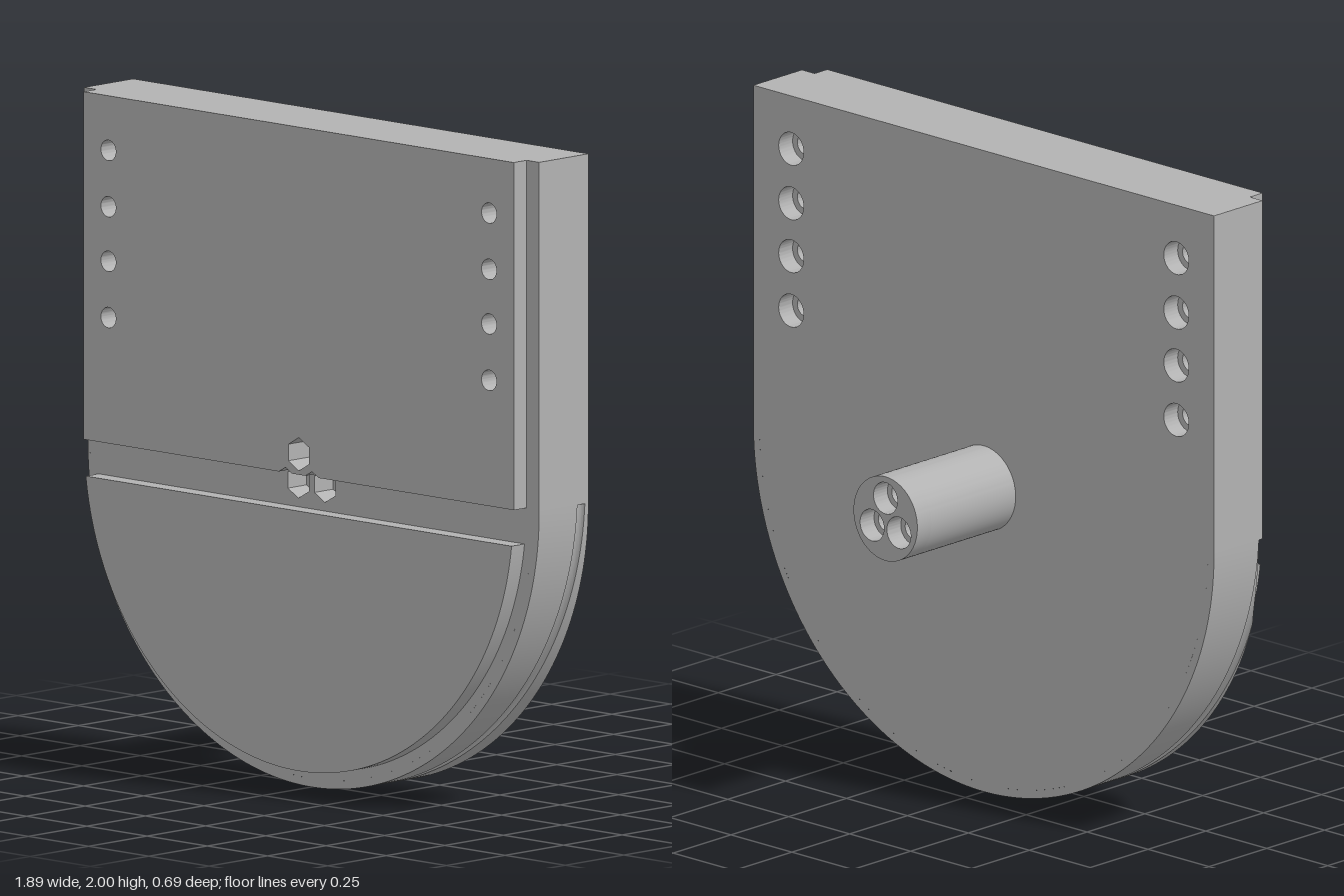
import * as THREE from 'three';
import { toCreasedNormals } from 'three/addons/utils/BufferGeometryUtils.js';

const R = 0.945;          // outer radius of the rounded end, also its centre height
const INSET = 0.92;       // radius where the grooved rim joins the core
const BACK = 0.08, FACE = 0.29, FRONT = 0.345;
const GROOVE = 0.016;     // groove radius

const grey = new THREE.MeshStandardMaterial({ color: 0xb2b2b2 });
grey.name = 'grey';

const sideHoles = [];
for (const x of [-0.79, 0.79])
  for (const y of [1.33, 1.5, 1.665, 1.835]) sideHoles.push([x, y]);
const boltHoles = [[0, 1.012], [-0.055, 0.916], [0.055, 0.916]];

const circle = (r) => ([x, y]) => new THREE.Path().absarc(x, y, r, 0, Math.PI * 2, true);
const hexagon = (r) => ([x, y]) => new THREE.Path(Array.from({ length: 7 }, (_, i) => {
  const a = Math.PI / 2 - i * Math.PI / 3;
  return new THREE.Vector2(x + r * Math.cos(a), y + r * Math.sin(a));
}));

function addMesh(group, name, geometry) {
  const mesh = new THREE.Mesh(toCreasedNormals(geometry, 0.5), grey);
  mesh.name = name;
  group.add(mesh);
}

// Flat slab between two depths, with holes
function slab(group, name, shape, z0, z1, holes = []) {
  shape.holes = holes;
  const geo = new THREE.ExtrudeGeometry(shape, { depth: z1 - z0, bevelEnabled: false, curveSegments: 48 });
  addMesh(group, name, geo.translate(0, 0, z0));
}

// Square top with a rounded lower end; small ledges close the ends of the rim
function coreShape() {
  const s = new THREE.Shape();
  s.moveTo(R, 2);
  s.lineTo(-R, 2);
  s.lineTo(-R, R);
  s.lineTo(-INSET, R);
  s.absarc(0, R, INSET, Math.PI, Math.PI * 2, false);
  s.lineTo(R, R);
  return s;
}

// Rounded rim with a groove that winds from the back edge to the front face
function rimGeometry() {
  const steps = 128, arcs = 12, pos = [], idx = [];
  let count = 0;
  for (let i = 0; i <= steps; i++) {
    const t = i / steps, a = -Math.PI * t, zc = 0.111 + 0.179 * t;
    const section = [[INSET, BACK], [R, BACK]];
    for (let j = 0; j <= arcs; j++) {
      const p = Math.PI * j / arcs;
      let z = zc - GROOVE * Math.cos(p), r = R - GROOVE * Math.sin(p);
      if (z > FACE) {
        z = FACE;
        r = R - Math.sqrt(Math.max(0, GROOVE ** 2 - (FACE - zc) ** 2));
      }
      section.push([r, z]);
    }
    const last = section[section.length - 1];
    section.push([last[1] >= FACE ? last[0] : R, FACE], [INSET, FACE]);
    count = section.length;
    for (const [r, z] of section) pos.push(r * Math.cos(a), R + r * Math.sin(a), z);
  }
  for (let i = 0; i < steps; i++)
    for (let j = 0; j < count - 1; j++) {
      const p = i * count + j, q = p + count;
      idx.push(p, p + 1, q, p + 1, q + 1, q);
    }
  const geo = new THREE.BufferGeometry();
  geo.setAttribute('position', new THREE.Float32BufferAttribute(pos, 3));
  geo.setIndex(idx);
  // Make sure the faces point outwards: the bottom of the rim must face down
  geo.computeVertexNormals();
  const mid = (steps / 2) * count + 1;
  if (geo.attributes.normal.getY(mid) > 0) geo.setIndex(idx.reverse());
  return geo;
}

export function createModel() {
  const model = new THREE.Group();
  model.name = 'mountingPlate';

  // Main body: counterbores at the back, plain holes, hex pockets at the front
  const body = new THREE.Group();
  body.name = 'body';
  const small = circle(0.031), bore = circle(0.051), hex = hexagon(0.05);
  slab(body, 'backLayer', coreShape(), BACK, 0.14, [...sideHoles.map(bore), ...boltHoles.map(small)]);
  slab(body, 'middleLayer', coreShape(), 0.14, 0.21, [...sideHoles, ...boltHoles].map(small));
  slab(body, 'frontLayer', coreShape(), 0.21, FACE, [...sideHoles.map(small), ...boltHoles.map(hex)]);
  addMesh(body, 'groovedRim', rimGeometry());
  model.add(body);

  // Upper raised panel, notched by the two lower hex pockets
  const upper = new THREE.Shape();
  const edge = 0.95, tip = 0.966, half = (tip - edge) * Math.sqrt(3);
  upper.moveTo(-0.893, edge);
  for (const x of [-0.055, 0.055]) {
    upper.lineTo(x - half, edge);
    upper.lineTo(x, tip);
    upper.lineTo(x + half, edge);
  }
  upper.lineTo(0.893, edge);
  upper.lineTo(0.893, 2);
  upper.lineTo(-0.893, 2);
  slab(model, 'upperPanel', upper, FACE, FRONT, [...sideHoles.map(small), hex(boltHoles[0])]);

  // Lower raised panel, a circle segment
  const lower = new THREE.Shape();
  const dip = Math.asin((R - 0.84) / 0.89);
  lower.absarc(0, R, 0.89, Math.PI + dip, Math.PI * 2 - dip, false);
  slab(model, 'lowerPanel', lower, FACE, FRONT);

  // Round post at the back with three counterbored bolt holes
  const post = new THREE.Group();
  post.name = 'post';
  const disc = () => new THREE.Shape().absarc(0, 0.948, 0.131, 0, Math.PI * 2, false);
  slab(post, 'postShaft', disc(), -0.285, BACK, boltHoles.map(small));
  slab(post, 'postEnd', disc(), -0.345, -0.285, boltHoles.map(circle(0.049)));
  model.add(post);

  return model;
}
